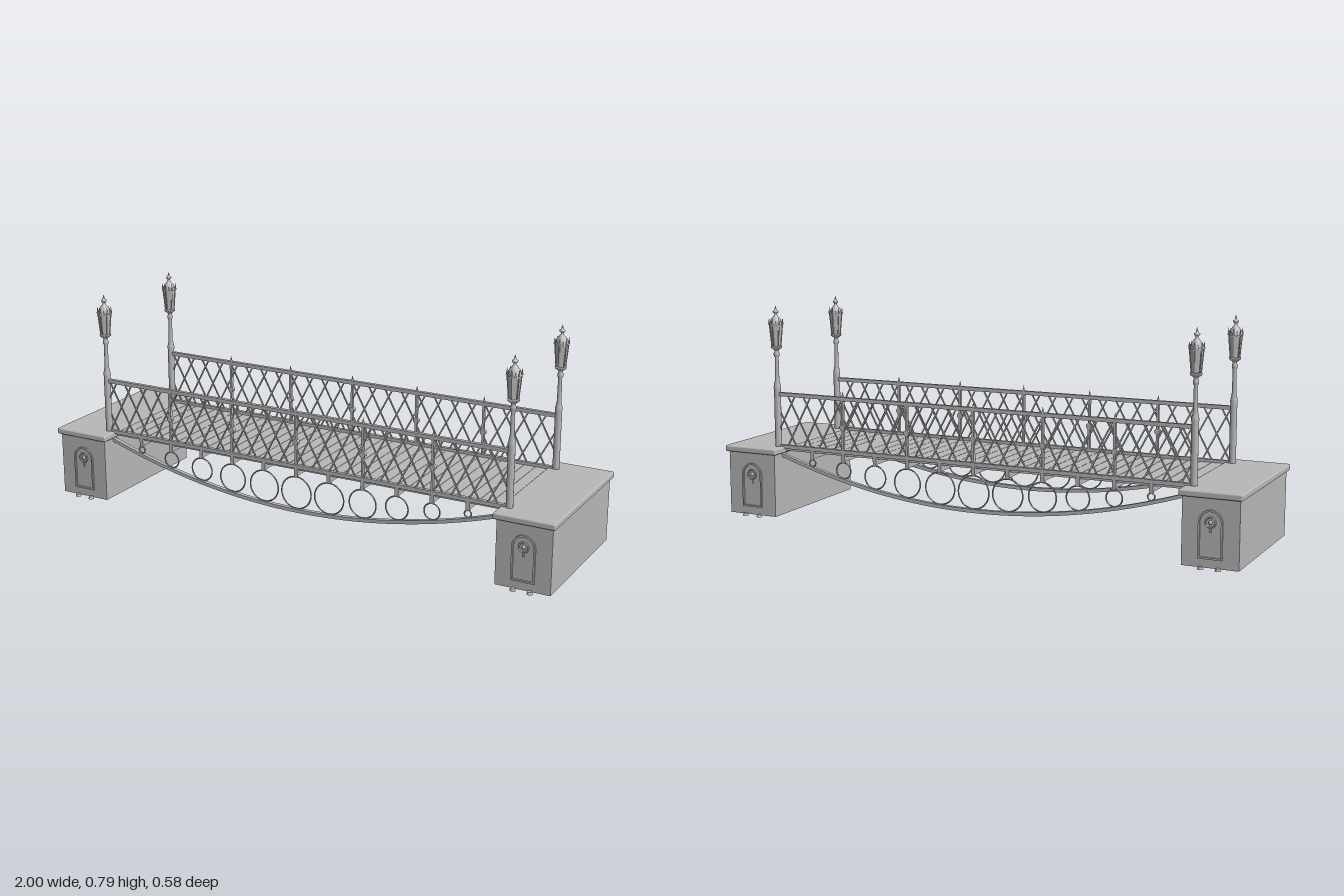
import * as THREE from 'three';
import { mergeGeometries } from 'three/addons/utils/BufferGeometryUtils.js';
import { RoundedBoxGeometry } from 'three/addons/geometries/RoundedBoxGeometry.js';

const grey = new THREE.MeshStandardMaterial({ color: 0xb8b8b8 });
grey.name = 'ironGrey';

const RAIL_Z = 0.21, HALF = 0.8, BAY = 0.1325;

function add(parent, name, geometry, x = 0, y = 0, z = 0) {
  const mesh = new THREE.Mesh(geometry, grey);
  mesh.name = name;
  mesh.position.set(x, y, z);
  parent.add(mesh);
  return mesh;
}

const box = (w, h, d, x = 0, y = 0, z = 0) => new THREE.BoxGeometry(w, h, d).translate(x, y, z);

// flat bar between two points in the railing plane
function bar(x0, y0, x1, y1, w, z) {
  const dx = x1 - x0, dy = y1 - y0;
  return new THREE.BoxGeometry(Math.hypot(dx, dy), w, 0.004)
    .rotateZ(Math.atan2(dy, dx)).translate((x0 + x1) / 2, (y0 + y1) / 2, z);
}

function lathe(points, sides) {
  return new THREE.LatheGeometry(points.map(p => new THREE.Vector2(p[0], p[1])), sides);
}

function archPath(target, r, y0, y1) {
  target.moveTo(-r, y0);
  target.lineTo(r, y0);
  target.lineTo(r, y1);
  target.absarc(0, y1, r, 0, Math.PI, false);
  target.lineTo(-r, y0);
  return target;
}

// stone pier with cap, feet and arched panels on both ends
function makeAbutment(side) {
  const g = new THREE.Group();
  g.name = side > 0 ? 'leftAbutment' : 'rightAbutment';
  add(g, 'pier', box(0.198, 0.235, 0.54), 0, 0.1225, 0);
  add(g, 'pierCap', new RoundedBoxGeometry(0.22, 0.023, 0.566, 2, 0.006), 0, 0.2505, 0);
  const shape = archPath(new THREE.Shape(), 0.042, 0.035, 0.158);
  shape.holes.push(archPath(new THREE.Path(), 0.036, 0.041, 0.158));
  const frame = new THREE.ExtrudeGeometry(shape, { depth: 0.006, bevelEnabled: false, curveSegments: 12 });
  for (const s of [1, -1]) {
    const panel = new THREE.Group();
    panel.name = 'archedPanel';
    panel.position.z = s * 0.27;
    if (s < 0) panel.rotation.y = Math.PI;
    add(panel, 'archFrame', frame);
    add(panel, 'medallionRing', new THREE.TorusGeometry(0.017, 0.003, 6, 20), 0, 0.158, 0.003);
    add(panel, 'medallionBoss', new THREE.SphereGeometry(0.007, 10, 8), 0, 0.158, 0.001);
    add(panel, 'medallionDrop', box(0.006, 0.018, 0.005), 0, 0.133, 0.002);
    for (const x of [-0.03, 0.03])
      add(panel, 'foot', new THREE.CylinderGeometry(0.008, 0.011, 0.009, 10), x, 0.0045, 0.007);
    g.add(panel);
  }
  g.position.x = side * 0.89;
  return g;
}

// post, hexagonal lantern, crown of spikes and finial
function makeLamp(x, z) {
  const g = new THREE.Group();
  g.name = 'lampPost';
  g.position.set(x, 0, z);
  add(g, 'postBase', new THREE.CylinderGeometry(0.0125, 0.0125, 0.225, 12), 0, 0.3725, 0);
  add(g, 'postShaft', lathe([[0.0135, 0.478], [0.0135, 0.485], [0.012, 0.492], [0.008, 0.512],
    [0.007, 0.595], [0.0105, 0.601], [0.0105, 0.61], [0.007, 0.616], [0.009, 0.622], [0.02, 0.63],
    [0.021, 0.637], [0, 0.637]], 12));
  const glass = new THREE.CylinderGeometry(0.0235, 0.0165, 0.075, 6).toNonIndexed();
  glass.computeVertexNormals();
  add(g, 'lanternBody', glass, 0, 0.6745, 0);
  add(g, 'lanternRim', new THREE.CylinderGeometry(0.0255, 0.0255, 0.006, 6), 0, 0.713, 0);
  const ribs = [], spikes = [];
  for (let i = 0; i < 6; i++) {
    const a = i * Math.PI / 3;
    ribs.push(box(0.003, 0.076, 0.003).rotateX(0.093).translate(0, 0.6745, 0.0205).rotateY(a));
    spikes.push(new THREE.ConeGeometry(0.004, 0.026, 4).translate(0, 0.729, 0.0245).rotateY(a));
    spikes.push(new THREE.ConeGeometry(0.007, 0.016, 3).translate(0, 0.723, 0.0215).rotateY(a + Math.PI / 6));
  }
  add(g, 'lanternRibs', mergeGeometries(ribs));
  add(g, 'crownSpikes', mergeGeometries(spikes));
  add(g, 'lanternRoof', lathe([[0.024, 0.716], [0.019, 0.734], [0.01, 0.745], [0.005, 0.752],
    [0.005, 0.756], [0.0105, 0.761], [0.0105, 0.765], [0.004, 0.769], [0.0035, 0.774], [0, 0.786]], 12));
  return g;
}

// rails, posts and crossed lattice bars
function makeRailing(z) {
  const g = new THREE.Group();
  g.name = z > 0 ? 'frontRailing' : 'backRailing';
  add(g, 'topRail', box(1.62, 0.014, 0.014), 0, 0.458, z);
  add(g, 'bottomRail', box(1.62, 0.014, 0.014), 0, 0.262, z);
  const y0 = 0.266, y1 = 0.454, run = 0.1, pitch = HALF / 12;
  const lattice = [];
  for (let i = -2; i < 24; i++) {
    // clip each bar to the span of the railing
    const a = -HALF + i * pitch, b = a + run;
    const ca = Math.max(a, -HALF), cb = Math.min(b, HALF);
    if (cb - ca < 0.01) continue;
    const ya = y0 + (y1 - y0) * (ca - a) / run, yb = y0 + (y1 - y0) * (cb - a) / run;
    lattice.push(bar(ca, ya, cb, yb, 0.005, z + 0.002));
    lattice.push(bar(ca, y0 + y1 - ya, cb, y0 + y1 - yb, 0.005, z - 0.002));
  }
  add(g, 'lattice', mergeGeometries(lattice));
  for (let i = -2; i <= 2; i++) {
    const x = i * BAY * 2;
    add(g, 'railingPost', box(0.008, 0.2, 0.012), x, 0.36, z);
    add(g, 'postRosette', new THREE.CylinderGeometry(0.011, 0.011, 0.014, 12).rotateX(Math.PI / 2), x, 0.352, z);
    add(g, 'postFinial', new THREE.ConeGeometry(0.005, 0.022, 8), x, 0.475, z);
  }
  return g;
}

// curved lower chord with hangers and graded rings
function makeTruss(z) {
  const g = new THREE.Group();
  g.name = z > 0 ? 'frontTruss' : 'backTruss';
  const chordY = x => 0.096 + 0.138 * (x / 0.8) ** 2;
  const outline = new THREE.Shape(), N = 40;
  for (let i = 0; i <= N; i++) {
    const x = -0.8 + 1.6 * i / N;
    if (i) outline.lineTo(x, chordY(x) - 0.007);
    else outline.moveTo(x, chordY(x) - 0.007);
  }
  for (let i = N; i >= 0; i--) {
    const x = -0.8 + 1.6 * i / N;
    outline.lineTo(x, chordY(x) + 0.006);
  }
  add(g, 'lowerChord', new THREE.ExtrudeGeometry(outline, { depth: 0.016, bevelEnabled: false }), 0, 0, z - 0.008);
  for (let i = -5; i <= 5; i++) {
    const x = i * BAY, bottom = chordY(x) + 0.004, top = 0.224;
    const r = (top - bottom) / 2;
    add(g, 'ring', new THREE.TorusGeometry(r - 0.002, 0.0028, 6, 32), x, bottom + r, z);
    add(g, 'hanger', box(0.014, 0.036, 0.01), x, 0.24, z);
  }
  return g;
}

export function createModel() {
  const model = new THREE.Group();
  model.name = 'footbridge';

  for (const side of [1, -1]) {
    model.add(makeAbutment(side));
    model.add(makeRailing(side * RAIL_Z));
    model.add(makeTruss(side * RAIL_Z));
    for (const z of [RAIL_Z, -RAIL_Z]) model.add(makeLamp(side * 0.81, z));
  }

  // deck slab, planks and cross beams
  add(model, 'deckSlab', box(1.58, 0.006, 0.41), 0, 0.249, 0);
  const planks = [], count = 36, pitch = 1.56 / count;
  for (let i = 0; i < count; i++)
    planks.push(box(pitch - 0.0015, 0.006, 0.412, -0.78 + (i + 0.5) * pitch, 0.255, 0));
  add(model, 'deckPlanks', mergeGeometries(planks));
  for (let i = -5; i <= 5; i++)
    add(model, 'crossBeam', box(0.014, 0.02, 0.42), i * BAY, 0.237, 0);

  return model;
}
